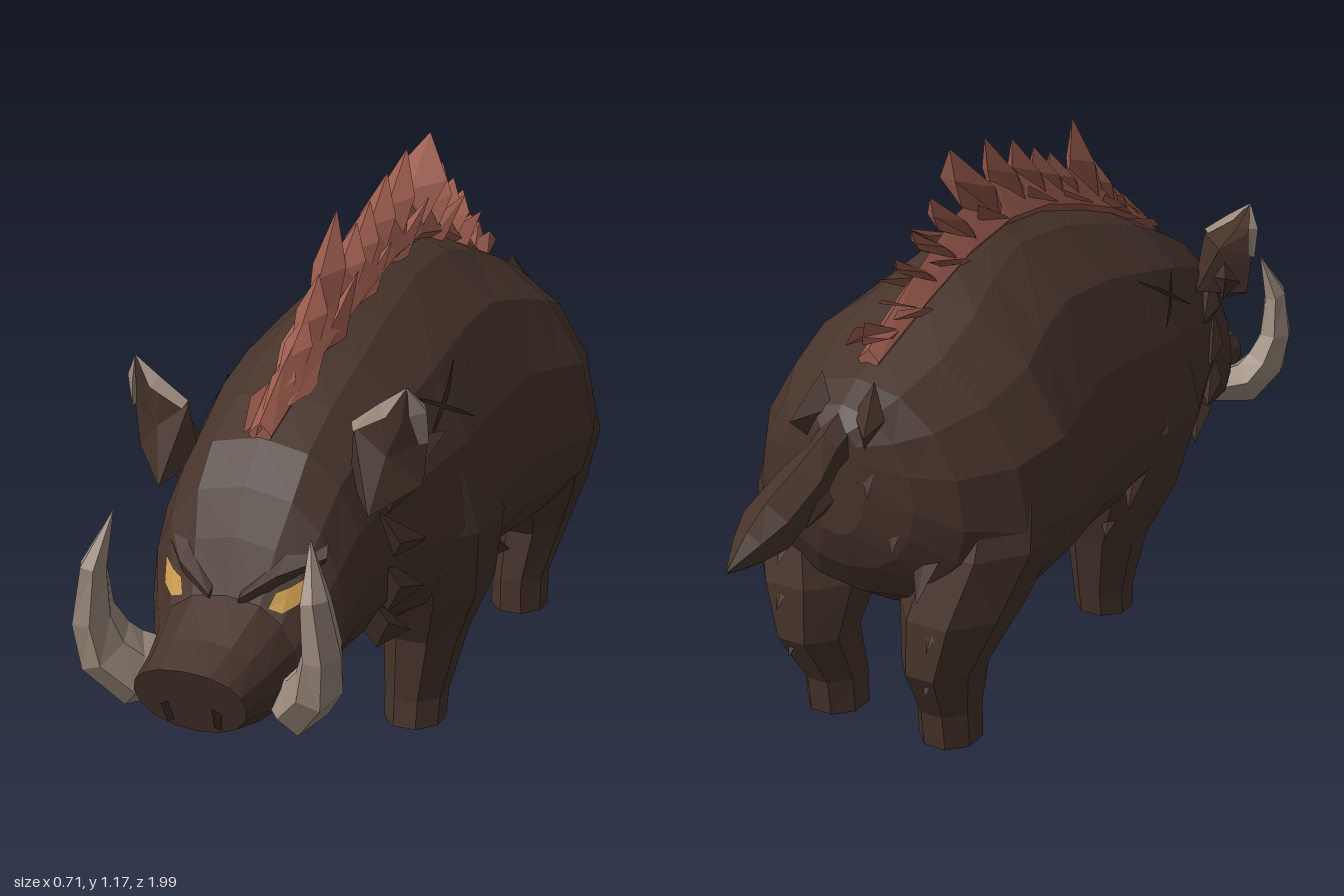
import * as THREE from 'three';
import { mergeGeometries } from 'three/addons/utils/BufferGeometryUtils.js';

const V = (x, y, z) => new THREE.Vector3(x, y, z);

// Faceted geometry from a list of triangles
function fromTriangles(tris) {
  const g = new THREE.BufferGeometry().setFromPoints(tris.flat());
  g.computeVertexNormals();
  return g;
}

// Closed faceted skin over a series of rings, always facing outwards
function loft(rings) {
  const tris = [], n = rings[0].length;
  const mid = r => r.reduce((a, p) => a.add(p), V(0, 0, 0)).divideScalar(n);
  const first = rings[0], last = rings[rings.length - 1];
  const c0 = mid(first), c1 = mid(last);
  for (let j = 0; j < n; j++) {
    const k = (j + 1) % n;
    for (let i = 0; i < rings.length - 1; i++) {
      const a = rings[i], b = rings[i + 1];
      tris.push([a[j], a[k], b[j]], [a[k], b[k], b[j]]);
    }
    tris.push([c0, first[k], first[j]], [c1, last[j], last[k]]);
  }
  const volume = tris.reduce((s, [a, b, c]) => s + a.clone().sub(c0).dot(b.clone().sub(c0).cross(c.clone().sub(c0))), 0);
  const solid = tris.filter(t => new THREE.Triangle(...t).getArea() > 1e-9);
  return fromTriangles(volume < 0 ? solid.map(([a, b, c]) => [a, c, b]) : solid);
}

// Four-sided tuft from a rhombic base (half axes u, v) to a point
const rhombus = (c, u, v) => [u, v, u.clone().negate(), v.clone().negate()].map(d => c.clone().add(d));
const spike = (base, tip, u, v) => loft([rhombus(base, u, v), [tip, tip, tip, tip]]);

// Body stations: z, bottom, top, half width, height of widest point, roundness, tilt
const BODY = [
  [0.975, 0.27, 0.41, 0.115, 0.345, 0.85, 0.35], [0.90, 0.25, 0.44, 0.128, 0.345, 0.8, 0.2],
  [0.82, 0.25, 0.49, 0.15, 0.35, 0.8, 0], [0.775, 0.25, 0.59, 0.178, 0.38, 0.8, 0],
  [0.73, 0.26, 0.675, 0.2, 0.43, 0.75, 0], [0.66, 0.27, 0.75, 0.215, 0.48, 0.8, 0],
  [0.55, 0.28, 0.81, 0.235, 0.50, 0.9, 0], [0.42, 0.27, 0.87, 0.28, 0.50, 1.05, 0],
  [0.28, 0.235, 0.92, 0.308, 0.50, 1.2, 0], [0.10, 0.25, 0.97, 0.31, 0.50, 1.3, 0],
  [-0.08, 0.245, 0.985, 0.315, 0.51, 1.35, 0], [-0.22, 0.245, 0.95, 0.338, 0.50, 1.25, 0],
  [-0.32, 0.25, 0.91, 0.354, 0.50, 1.1, 0], [-0.45, 0.27, 0.85, 0.318, 0.50, 1, 0],
  [-0.56, 0.34, 0.80, 0.24, 0.53, 0.95, 0], [-0.615, 0.42, 0.765, 0.16, 0.57, 0.9, 0],
  [-0.645, 0.5, 0.73, 0.07, 0.62, 0.9, 0],
];
const FRONT_LEG = [ // y, x, z, half width, half depth
  [0, 0.14, 0.215, 0.062, 0.065], [0.06, 0.14, 0.205, 0.064, 0.067], [0.2, 0.155, 0.19, 0.085, 0.088],
  [0.32, 0.185, 0.205, 0.108, 0.14], [0.48, 0.2, 0.24, 0.118, 0.19], [0.66, 0.2, 0.27, 0.07, 0.13],
];
const HIND_LEG = [
  [0, 0.14, -0.455, 0.062, 0.067], [0.08, 0.14, -0.46, 0.062, 0.072], [0.2, 0.155, -0.5, 0.08, 0.1],
  [0.32, 0.17, -0.455, 0.115, 0.14], [0.46, 0.205, -0.39, 0.125, 0.165], [0.6, 0.21, -0.36, 0.1, 0.14],
];
const MANE = [ // base z, tip z, tip y, widest half width
  [0.59, 0.51, 0.87, 0.026], [0.52, 0.44, 0.935, 0.03], [0.45, 0.38, 1.0, 0.034], [0.37, 0.29, 1.11, 0.036],
  [0.28, 0.19, 1.06, 0.038], [0.21, 0.12, 1.09, 0.038], [0.13, 0.03, 1.13, 0.04], [0.04, -0.08, 1.16, 0.042],
  [-0.08, -0.215, 1.17, 0.066], [-0.17, -0.29, 1.09, 0.045], [-0.24, -0.36, 1.04, 0.04],
  [-0.31, -0.42, 1.0, 0.036], [-0.38, -0.48, 0.93, 0.033], [-0.44, -0.54, 0.86, 0.028],
];

function backHeight(z) {
  const i = Math.max(1, BODY.findIndex(b => b[0] <= z));
  const a = BODY[i - 1], b = BODY[i];
  return THREE.MathUtils.mapLinear(z, a[0], b[0], a[2], b[2]);
}

export function createModel() {
  const model = new THREE.Group();
  const mat = (name, color, side = THREE.FrontSide) =>
    Object.assign(new THREE.MeshStandardMaterial({ color, side }), { name });
  const hide = mat('brown hide', 0x46332a);
  const bristle = mat('red bristle', 0x985a4b);
  const ivory = mat('ivory', 0x9a897b);
  const amber = mat('amber', 0xc99a4c, THREE.DoubleSide);
  const dark = mat('dark', 0x2e221c, THREE.DoubleSide);
  const add = (name, geometry, material) => {
    const m = new THREE.Mesh(geometry, material);
    m.name = name;
    model.add(m);
    return m;
  };

  // Head and trunk in one skin
  const body = add('body', loft(BODY.map(([z, lo, hi, w, ym, p, tilt]) =>
    Array.from({ length: 16 }, (_, i) => {
      const t = (i / 16) * Math.PI * 2, c = Math.cos(t), s = Math.sin(t);
      const y = ym + c * (c > 0 ? hi - ym : ym - lo);
      return V(Math.sign(s) * w * Math.abs(s) ** (c > 0 ? p : 0.9), y, z + tilt * (y - ym));
    }))), hide);

  // Thin painted details dropped onto the skin, from the front or from one side
  const ray = new THREE.Raycaster();
  const onSkin = (a, b, side, lift) => {
    const dir = side ? V(-side, 0, 0) : V(0, 0, -1);
    ray.set(side ? V(side * 2, b, a) : V(a, b, 2), dir);
    return ray.intersectObject(body)[0].point.clone().addScaledVector(dir, -lift);
  };
  const patch = (pts, s, lift) => {
    const p = pts.map(([x, y]) => onSkin(x * s, y, 0, lift));
    const cx = pts.reduce((t, q) => t + q[0], 0) / pts.length;
    const cy = pts.reduce((t, q) => t + q[1], 0) / pts.length;
    const c = onSkin(cx * s, cy, 0, lift);
    return fromTriangles(p.map((q, i) => [c, q, p[(i + 1) % p.length]]));
  };
  const scar = (z0, y0, z1, y1, s) => {
    const tris = [], n = 6;
    const at = (i, o) => {
      const t = i / n, w = o * 0.006 * Math.sin(Math.PI * (0.05 + 0.9 * t));
      return onSkin(z0 + (z1 - z0) * t, y0 + (y1 - y0) * t + w, s, 0.007);
    };
    for (let i = 0; i < n; i++) {
      tris.push([at(i, -1), at(i + 1, -1), at(i, 1)], [at(i + 1, -1), at(i + 1, 1), at(i, 1)]);
    }
    return fromTriangles(tris);
  };

  // Bristle ridge along the back with broad, leaf-shaped spikes swept backwards
  const ridge = [0.66, 0.55, 0.4, 0.25, 0.1, -0.05, -0.2, -0.35, -0.52].map((z, i, all) => {
    const k = Math.sin(Math.PI * (0.06 + 0.88 * i / (all.length - 1))), y = backHeight(z);
    return [V(0, y + 0.015 + 0.07 * k, z), V(0.018 + 0.032 * k, y + 0.005, z), V(0, y - 0.05, z), V(-0.018 - 0.032 * k, y + 0.005, z)];
  });
  const leaf = (base, tip, w) => loft([
    rhombus(base, V(0, -0.04, 0.09), V(Math.min(w, 0.045) * 0.8, 0, 0)),
    rhombus(base.clone().lerp(tip, 0.5), V(0, -0.015, 0.048), V(w, 0, 0)),
    [tip, tip, tip, tip],
  ]);
  const leaves = MANE.flatMap(([z, tz, ty, w], i) => {
    const y = backHeight(z), s = i % 2 ? 1 : -1;
    return [
      leaf(V(0, y + 0.01, z), V(0, ty, tz), w),
      spike(V(s * 0.03, y, z), V(s * (w + 0.006), y + (ty - y) * 0.45, tz - 0.01), V(0, -0.03, 0.08), V(0.022, -0.015, 0)),
    ];
  });
  add('mane', mergeGeometries([loft(ridge), ...leaves]), bristle);

  // Tail with a tufted end: z, y, half width, half height
  const tail = [
    [-0.61, 0.71, 0.04, 0.05], [-0.68, 0.68, 0.036, 0.045], [-0.76, 0.645, 0.055, 0.05],
    [-0.87, 0.607, 0.058, 0.052], [-0.93, 0.59, 0.036, 0.036], [-0.995, 0.572, 0.003, 0.004],
  ].map(([z, y, w, h]) => Array.from({ length: 6 }, (_, i) =>
    V(w * Math.sin(i * Math.PI / 3), y + h * Math.cos(i * Math.PI / 3), z)));
  add('tail', mergeGeometries([loft(tail),
    ...[-1, 1].map(s => spike(V(s * 0.035, 0.62, -0.73), V(s * 0.066, 0.61, -0.84), V(0.02, 0, 0), V(0, 0.03, 0))),
    spike(V(0, 0.6, -0.78), V(0, 0.55, -0.94), V(0.03, 0, 0), V(0, 0.03, 0)),
  ]), hide);

  // Shaggy belly and chest
  const shag = [spike(V(0, 0.28, 0.34), V(0, 0.205, 0.27), V(0.09, 0, 0), V(0, 0, 0.09))];
  [0.13, 0.04, -0.05, -0.14, -0.23].forEach((z, i) => {
    shag.push(spike(V(0, 0.265, z), V(0, 0.208 + 0.007 * i, z - 0.07), V(0.1, 0, 0), V(0, 0, 0.07)));
    for (const s of [-1, 1]) {
      shag.push(spike(V(s * 0.12, 0.275, z + 0.03), V(s * 0.11, 0.228 + 0.004 * i, z - 0.05), V(0.06, 0.02 * s, 0), V(0, 0, 0.07)));
    }
  });
  add('bellyFur', mergeGeometries(shag), hide);

  for (const s of [1, -1]) {
    const side = s > 0 ? 'left' : 'right';
    const P = (x, y, z) => V(x * s, y, z);

    // Legs
    for (const [name, rows] of [['FrontLeg', FRONT_LEG], ['HindLeg', HIND_LEG]]) {
      add(side + name, loft(rows.map(([y, x, z, rx, rz]) => Array.from({ length: 8 }, (_, i) => {
        const t = (i + 0.5) * Math.PI / 4;
        return P(x + rx * 1.06 * Math.cos(t), y, z + rz * 1.06 * Math.sin(t));
      }))), hide);
    }

    // Flat-lying fur on cheeks, elbows, hocks and rump: base, tip
    const tufts = [
      [0.19, 0.37, 0.57, 0.232, 0.32, 0.475], [0.215, 0.45, 0.57, 0.262, 0.42, 0.475], [0.215, 0.54, 0.57, 0.266, 0.52, 0.475],
      [0.205, 0.63, 0.57, 0.245, 0.62, 0.475], [0.25, 0.4, 0.14, 0.285, 0.34, 0.04], [0.2, 0.3, 0.12, 0.22, 0.25, 0.06],
      [0.16, 0.24, -0.55, 0.165, 0.16, -0.595], [0.18, 0.36, -0.55, 0.18, 0.27, -0.61], [0.16, 0.47, -0.57, 0.165, 0.38, -0.62],
      [0.11, 0.58, -0.6, 0.12, 0.48, -0.635], [0.06, 0.7, -0.62, 0.08, 0.6, -0.655], [0.06, 0.75, -0.61, 0.085, 0.73, -0.67],
    ];
    add(side + 'Fur', mergeGeometries(tufts.map(([a, b, c, d, e, f]) =>
      spike(P(a, b, c), P(d, e, f), V(0.035, 0, 0), V(0, 0.065, 0.02)))), hide);

    // Ear with a pale worn rim, and a tuft behind it
    const tip = P(0.282, 0.87, 0.62);
    add(side + 'Ear', mergeGeometries([
      loft([
        [P(0.16, 0.67, 0.6), P(0.22, 0.62, 0.66), P(0.3, 0.67, 0.58), P(0.21, 0.68, 0.5)],
        [P(0.172, 0.78, 0.615), P(0.24, 0.73, 0.62), P(0.308, 0.76, 0.58), P(0.25, 0.78, 0.53)],
        [P(0.23, 0.825, 0.62), P(0.27, 0.8, 0.615), P(0.308, 0.82, 0.59), P(0.275, 0.825, 0.57)],
        [tip, tip, tip, tip],
      ]),
      spike(P(0.25, 0.7, 0.56), P(0.3, 0.74, 0.46), V(0.04, 0, 0), V(0, 0.05, 0)),
    ]), hide);
    add(side + 'EarRim', mergeGeometries([
      loft([[P(0.17, 0.79, 0.62), P(0.178, 0.775, 0.632), P(0.185, 0.785, 0.605)],
        [P(0.228, 0.834, 0.625), P(0.246, 0.812, 0.635), P(0.25, 0.83, 0.6)], [tip, tip, tip]]),
      loft([[P(0.313, 0.755, 0.585), P(0.3, 0.755, 0.605), P(0.305, 0.765, 0.565)],
        [P(0.313, 0.82, 0.597), P(0.288, 0.815, 0.625), P(0.3, 0.825, 0.573)], [tip, tip, tip]]),
    ]), ivory);

    // Tusk, deeper than wide: x, y, z, radius
    const tusk = [
      [0.11, 0.32, 0.8, 0.035], [0.18, 0.328, 0.855, 0.052], [0.22, 0.38, 0.888, 0.047],
      [0.234, 0.45, 0.906, 0.037], [0.225, 0.55, 0.912, 0.026], [0.2, 0.65, 0.875, 0.001],
    ];
    add(side + 'Tusk', loft(tusk.map(([x, y, z, r], i) => {
      const a = tusk[Math.max(0, i - 1)], b = tusk[Math.min(5, i + 1)];
      const t = V(b[0] - a[0], b[1] - a[1], b[2] - a[2]).normalize();
      const u = V(0, -0.5, 1).cross(t).normalize(), v = t.clone().cross(u);
      return Array.from({ length: 6 }, (_, k) => {
        const q = V(x, y, z).addScaledVector(u, r * Math.cos(k * Math.PI / 3)).addScaledVector(v, r * 1.5 * Math.sin(k * Math.PI / 3));
        return P(q.x, q.y, q.z);
      });
    })), ivory);

    // Eye under a heavy slanting brow, and nostril
    add(side + 'Eye', patch([[0.088, 0.478], [0.115, 0.47], [0.14, 0.485], [0.147, 0.532], [0.12, 0.515], [0.098, 0.506]], s, 0.009), amber);
    add(side + 'Brow', loft([
      rhombus(P(0.03, 0.485, 0.81), V(0, 0.025, -0.01), V(0, 0.005, 0.02)),
      rhombus(P(0.1, 0.543, 0.785), V(0, 0.025, -0.015), V(0, -0.005, 0.022)),
      rhombus(P(0.165, 0.568, 0.73), V(0, 0.02, -0.01), V(0.01, -0.005, 0.015)),
    ]), hide);
    add(side + 'Nostril', patch([[0.04, 0.29], [0.056, 0.285], [0.063, 0.325], [0.045, 0.335]], s, 0.004), dark);

    // Crossed shoulder scar
    add(side + 'Scar', mergeGeometries([scar(0.4, 0.69, 0.2, 0.8, s), scar(0.38, 0.77, 0.23, 0.695, s)]), dark);
  }
  return model;
}
